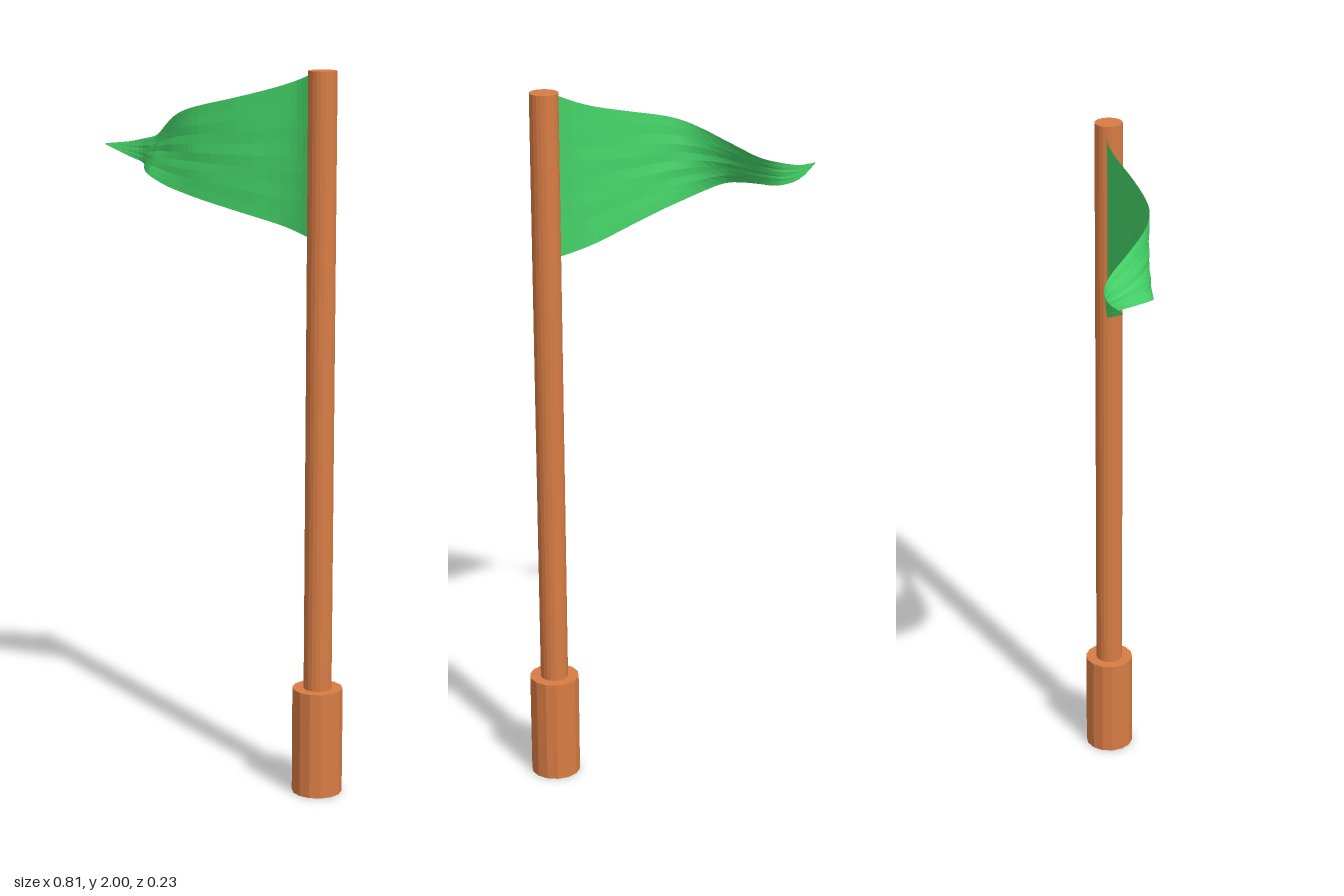
import * as THREE from 'three';

const POLE_X = 0.338, POLE_Z = -0.045;

// Flag edges from the pole to the tip, as [x, y, z]
const TOP_EDGE = [
  [0.3, 1.99, -0.045], [0.25, 1.97, -0.04], [0.2, 1.951, -0.015], [0.1, 1.92, 0.044], [0, 1.894, 0.087],
  [-0.05, 1.878, 0.093], [-0.1, 1.857, 0.082], [-0.18, 1.82, 0.041], [-0.25, 1.79, 0.004],
  [-0.31, 1.776, -0.004], [-0.355, 1.766, 0.009], [-0.407, 1.76, 0.052],
];
const BOTTOM_EDGE = [
  [0.3, 1.55, -0.045], [0.25, 1.565, -0.041], [0.2, 1.58, -0.028], [0.1, 1.61, 0.025], [0, 1.64, 0.075],
  [-0.05, 1.655, 0.093], [-0.1, 1.671, 0.108], [-0.17, 1.695, 0.108], [-0.23, 1.704, 0.068],
  [-0.3, 1.711, 0.008], [-0.355, 1.725, 0.011], [-0.407, 1.757, 0.052],
];

function cylinder(name, radius, y0, y1, sides, material) {
  const mesh = new THREE.Mesh(new THREE.CylinderGeometry(radius, radius, y1 - y0, sides), material);
  mesh.name = name;
  mesh.position.set(POLE_X, (y0 + y1) / 2, POLE_Z);
  return mesh;
}

// Cloth spanned between the two wavy edges, with faint creases inside
function flagGeometry() {
  const curve = (edge) => new THREE.CatmullRomCurve3(edge.map((p) => new THREE.Vector3(...p)));
  const top = curve(TOP_EDGE), bottom = curve(BOTTOM_EDGE);
  const cols = 33, rows = 10;
  const geometry = new THREE.PlaneGeometry(1, 1, cols, rows);
  const position = geometry.attributes.position;
  const point = new THREE.Vector3();
  for (let j = 0; j <= rows; j++) {
    for (let i = 0; i <= cols; i++) {
      const u = 1 - i / cols, v = j / rows;
      point.lerpVectors(top.getPoint(u), bottom.getPoint(u), v);
      const crease = 0.0015 * Math.sin(v * 23 + u * 9) * Math.sin(u * Math.PI) * Math.sin(v * Math.PI);
      position.setXYZ(j * (cols + 1) + i, point.x, point.y, point.z + crease);
    }
  }
  geometry.computeVertexNormals();
  return geometry;
}

export function createModel() {
  const group = new THREE.Group();
  group.name = 'pennantOnPole';
  const wood = new THREE.MeshStandardMaterial({ color: 0xd87c44, flatShading: true });
  const cloth = new THREE.MeshStandardMaterial({ color: 0x44d468, flatShading: true, side: THREE.DoubleSide });

  // Thick foot and slim pole
  group.add(cylinder('base', 0.07, 0, 0.3, 14, wood));
  group.add(cylinder('pole', 0.039, 0.3, 2, 20, wood));

  // Waving pennant
  const flag = new THREE.Mesh(flagGeometry(), cloth);
  flag.name = 'flag';
  group.add(flag);
  return group;
}
